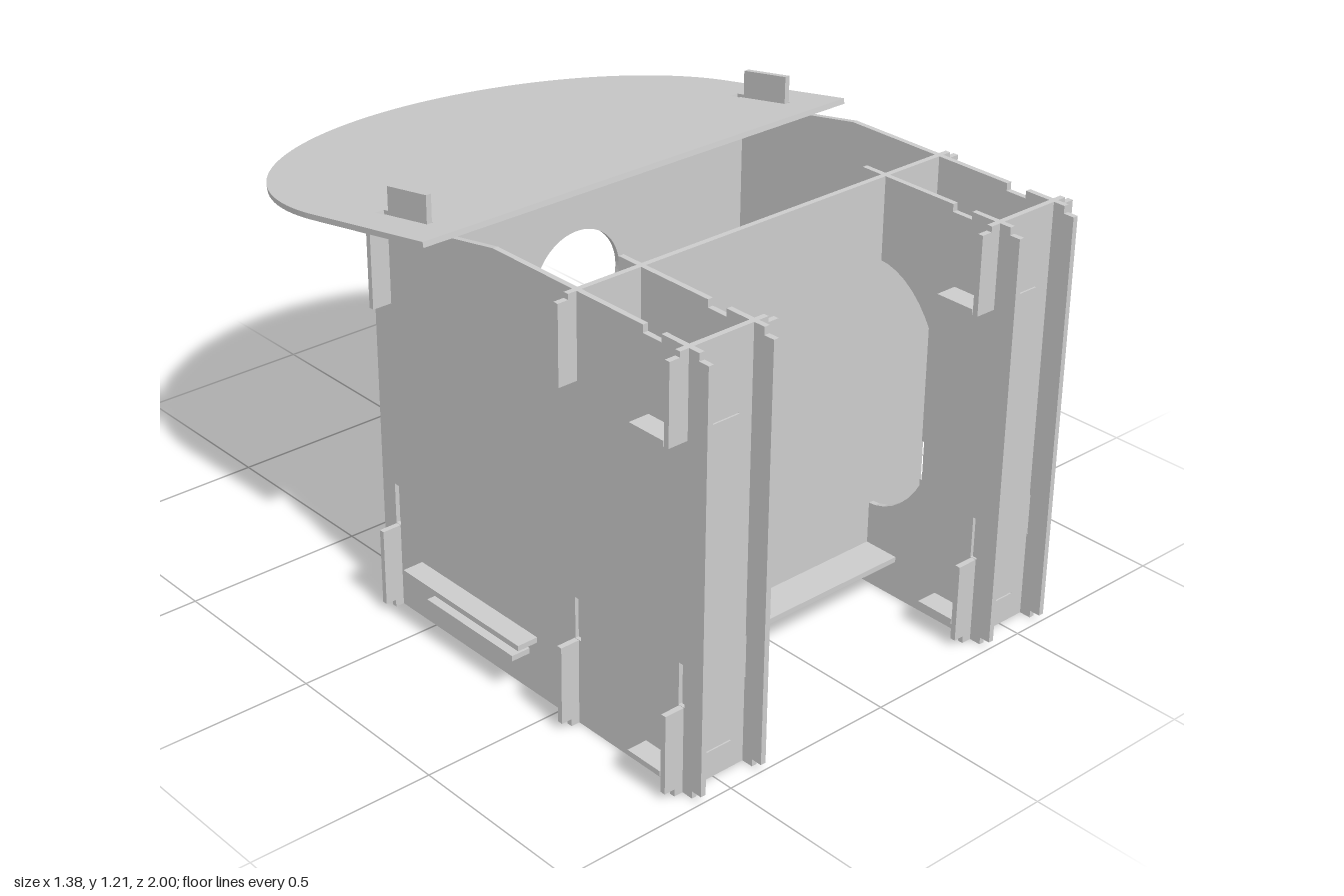
import * as THREE from 'three';

const T = 0.015; // sheet thickness
const material = new THREE.MeshStandardMaterial({ color: 0xcccccc, flatShading: true });

const vectors = (points) => points.map(([u, v]) => new THREE.Vector2(u, v));
const path = (points) => new THREE.Path(vectors(points));
const rect = (u0, v0, u1, v1) => path([[u0, v0], [u1, v0], [u1, v1], [u0, v1]]);
const oval = (u, v, ru, rv) => new THREE.Path().absellipse(u, v, ru, rv, 0, Math.PI * 2);
// mirrors the right half of an outline, listed from bottom to top
const mirrored = (half) => [...half, ...half.map(([u, v]) => [-u, v]).reverse()];

// cuts one sheet; facing 'x' maps (u, v) to (z, y), 'y' to (x, z), 'z' to (x, y)
function sheet(name, outline, holes, facing, at) {
  const shape = new THREE.Shape(vectors(outline));
  shape.holes.push(...holes);
  const geometry = new THREE.ExtrudeGeometry(shape, { depth: T, bevelEnabled: false, curveSegments: 40 });
  geometry.translate(0, 0, -T / 2);
  if (facing === 'x') geometry.rotateY(-Math.PI / 2);
  if (facing === 'y') geometry.rotateX(Math.PI / 2);
  const mesh = new THREE.Mesh(geometry, material);
  mesh.name = name;
  mesh.position[facing] = at;
  return mesh;
}

// points along an elliptical arc
function arc(u, v, ru, rv, from, to, steps) {
  return Array.from({ length: steps + 1 }, (_, i) => {
    const a = from + ((to - from) * i) / steps;
    return [u + ru * Math.cos(a), v + rv * Math.sin(a)];
  });
}

// slot left open above each lower interlocking flange
const openSlot = (z) => rect(z - 0.01, 0.236, z + 0.01, 0.35);

// front end shared by outer and inner side panels, bottom to top
const frontEnd = [
  [0.97, 0], [0.97, 0.02], [1, 0.02], [1, 1.135], [0.97, 1.135], [0.97, 1.155],
  [0.85, 1.155], [0.85, 1.135], [0.79, 1.135], [0.79, 1.155],
];

function outerSide(x) {
  const outline = [
    [-0.205, 0], ...frontEnd, [0.27, 1.155],
    [0.02, 1.11], [0.02, 1.205], [-0.135, 1.178], [-0.135, 1.082], // tab through the seat
    [-0.205, 1.07],
  ];
  return sheet('outerSidePanel', outline, [0.93, 0.565, -0.145].map(openSlot), 'x', x);
}

// rear edge is cut back in a half oval between its two flanges
function innerSide(x) {
  const bow = arc(0.56, 0.583, 0.23, 0.347, Math.PI / 2, -Math.PI / 2, 24);
  const outline = [[0.49, 0], ...frontEnd, [0.49, 1.155], [0.49, 0.93], ...bow, [0.49, 0.236]];
  return sheet('innerSidePanel', outline, [openSlot(0.93)], 'x', x);
}

// narrow front panel with flanges on both edges, plus its two slotted shelves
function frontColumn(cx) {
  const column = new THREE.Group();
  column.name = 'frontColumn';
  column.position.x = cx;
  const outline = mirrored([
    [0.13, 0], [0.13, 0.02], [0.16, 0.02], [0.16, 0.235], [0.095, 0.235],
    [0.095, 0.93], [0.16, 0.93], [0.16, 1.14], [0.13, 1.14], [0.13, 1.155],
  ]);
  const heights = [0.07, 0.937];
  const slots = heights.map((y) => rect(-0.048, y - 0.009, 0.048, y + 0.009));
  column.add(sheet('frontPanel', outline, slots, 'z', 0.93));

  for (const y of heights) {
    const shelf = mirrored([
      [0.05, 0.76], [0.06, 0.77], [0.095, 0.77], [0.095, 0.81], [0.162, 0.81],
      [0.162, 0.922], [0.047, 0.922], [0.047, 0.94],
    ]);
    const grip = path([
      ...arc(0, 0.88, 0.03, 0.03, 0, Math.PI, 12),
      ...arc(0, 0.82, 0.03, 0.03, Math.PI, Math.PI * 2, 12),
    ]);
    column.add(sheet('columnShelf', shelf, [grip], 'y', y));
  }
  return column;
}

// upright panel across the body, open below the floor
const crossPanel = (name, top, flangeBottom, z, holes) => sheet(name, mirrored([
  [0.4, 0.105], [0.4, 0], [0.62, 0], [0.62, 0.02], [0.65, 0.02], [0.65, 0.235], [0.585, 0.235],
  [0.585, flangeBottom], [0.65, flangeBottom], [0.65, top - 0.015], [0.62, top - 0.015], [0.62, top],
]), holes, 'z', z);

// sloping seat, straight in front and round behind
function seat() {
  const outline = [[0.69, 0], [-0.69, 0], ...arc(0, -0.455, 0.69, 0.69, Math.PI, Math.PI * 2, 64)];
  // keyhole slots for the side panel tabs
  const slots = [-0.588, 0.588].map((x) => path([
    [x - 0.009, -0.108], [x + 0.009, -0.108], [x + 0.009, -0.28], [x + 0.013, -0.28],
    [x + 0.013, -0.315], [x - 0.013, -0.315], [x - 0.013, -0.28], [x - 0.009, -0.28],
  ]));
  const mesh = sheet('seat', outline, slots, 'y', 1.143);
  mesh.position.z = 0.13;
  mesh.rotation.x = -0.179;
  return mesh;
}

export function createModel() {
  const model = new THREE.Group();
  model.name = 'flatPackSeat';
  for (const s of [-1, 1]) {
    model.add(outerSide(s * 0.588), innerSide(s * 0.397), frontColumn(s * 0.491));
  }

  model.add(crossPanel('middlePanel', 1.155, 0.93, 0.56, []));
  model.add(crossPanel('backPanel', 1.085, 0.865, -0.145, [oval(0, 0.74, 0.143, 0.143)]));

  // lower floor with tongues to front, back and both sides
  model.add(sheet('floor', mirrored([
    [0.4, -0.205], [0.4, -0.14], [0.582, -0.14], [0.582, 0.04], [0.65, 0.04],
    [0.65, 0.38], [0.582, 0.38], [0.582, 0.555], [0.389, 0.555], [0.389, 0.67],
  ]), [], 'y', 0.112));

  // upper plate with a large oval opening
  model.add(sheet('ovalHolder', mirrored([
    [0.582, -0.138], [0.582, -0.05], [0.655, -0.05], [0.655, 0.41], [0.582, 0.41], [0.582, 0.49],
  ]), [oval(0, 0.177, 0.39, 0.283)], 'y', 0.158));

  model.add(seat());
  return model;
}
